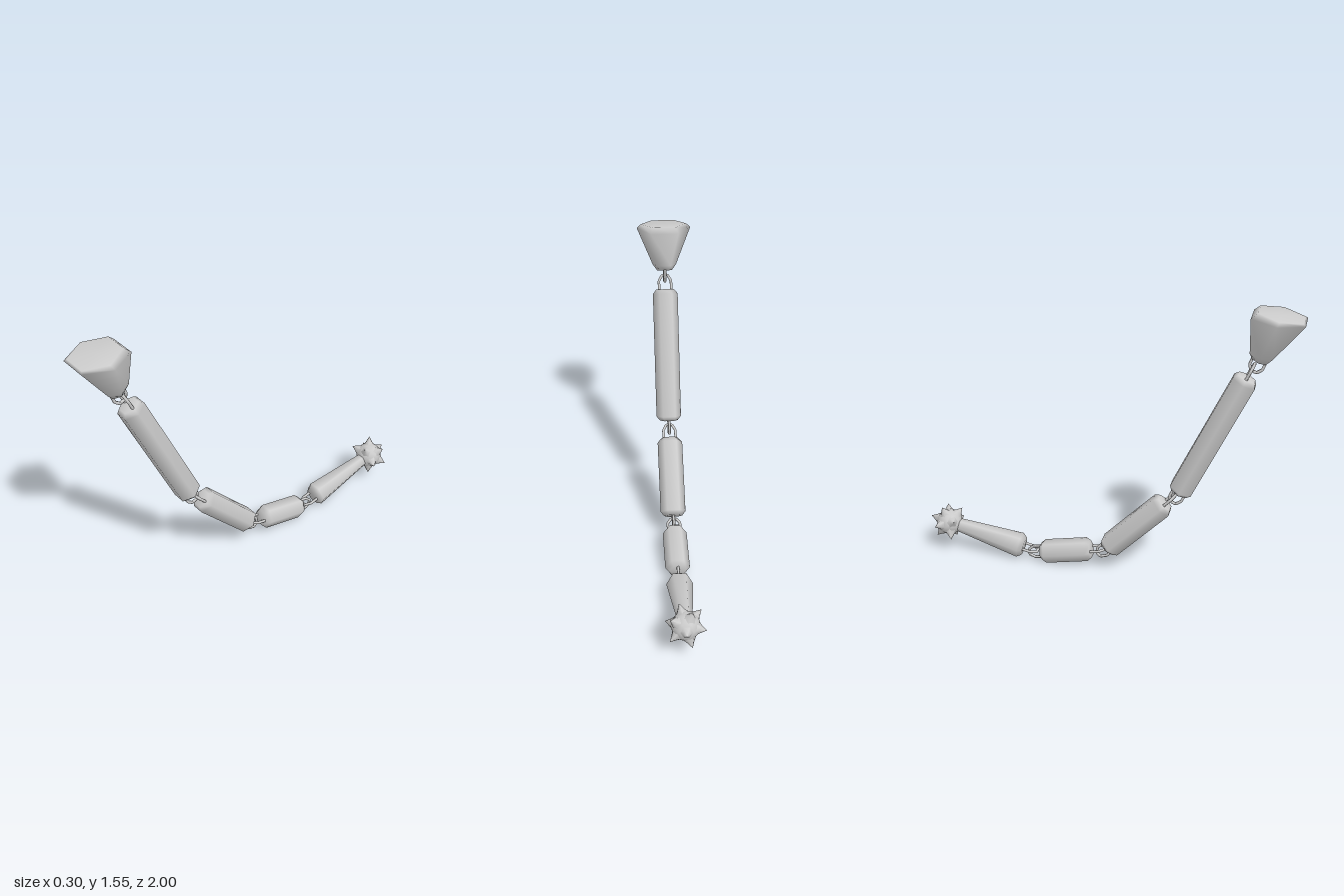
import * as THREE from 'three';
import { mergeVertices } from 'three/addons/utils/BufferGeometryUtils.js';

const grey = new THREE.MeshStandardMaterial({ color: 0xcccccc });

function mesh(geometry, name) {
  const m = new THREE.Mesh(geometry, grey);
  m.name = name;
  return m;
}

// Six-sided turned shape with corners on the x axis; profile is [radius, height]
function hexLathe(profile) {
  return new THREE.LatheGeometry(profile.map(p => new THREE.Vector2(...p)), 6, Math.PI / 2);
}

// Group at point a whose y axis runs towards b; points are [z, y]
function along(a, b, name) {
  const g = new THREE.Group();
  g.name = name;
  g.position.set(0, a[1], a[0]);
  g.rotation.x = Math.atan2(b[0] - a[0], b[1] - a[1]);
  return g;
}

// Bevelled hexagonal bar
function bar(length, r0, r1, name) {
  const bevel = 0.025;
  return mesh(hexLathe([
    [0, 0], [r0 * 0.72, 0], [r0, bevel],
    [r1, length - bevel], [r1 * 0.72, length], [0, length],
  ]), name);
}

// Angular staple rising from its base along y
function staple(length, name) {
  const w = 0.034;
  const pts = [[-w, -0.02], [-w, length * 0.6], [-w * 0.45, length],
    [w * 0.45, length], [w, length * 0.6], [w, -0.02]];
  const path = new THREE.CatmullRomCurve3(
    pts.map(p => new THREE.Vector3(p[0], p[1], 0)), false, 'catmullrom', 0);
  return mesh(new THREE.TubeGeometry(path, 40, 0.008, 6), name);
}

// Flared hexagonal pommel lofted through tilted rings: [z, y, radius, tilt in degrees]
function pommelGeometry() {
  const rings = [
    [0.79, 1.3, 0, 20], [0.79, 1.303, 0.042, 20], [0.8, 1.335, 0.066, 12],
    [0.872, 1.525, 0.15, 4.5], [0.882, 1.543, 0.127, 10], [0.882, 1.543, 0, 10],
  ];
  let g = hexLathe(rings.map((r, i) => [r[2], i]));
  const pos = g.attributes.position;
  for (let i = 0; i < pos.count; i++) {
    const [z, y, , deg] = rings[Math.round(pos.getY(i))];
    const t = THREE.MathUtils.degToRad(deg), d = pos.getZ(i);
    pos.setXYZ(i, pos.getX(i), y - d * Math.sin(t), z + d * Math.cos(t));
  }
  g.deleteAttribute('normal');
  g.deleteAttribute('uv');
  g = mergeVertices(g);
  g.computeVertexNormals();
  return g;
}

// Faceted ball with twelve spikes, one of them pointing along local y
function spikedBall() {
  const ball = new THREE.Group();
  ball.name = 'spikedBall';
  const core = new THREE.IcosahedronGeometry(0.074, 1);
  core.deleteAttribute('normal');
  core.deleteAttribute('uv');
  const smooth = mergeVertices(core);
  smooth.computeVertexNormals();
  ball.add(mesh(smooth, 'ballCore'));

  const dirs = [new THREE.Vector3(0, 1, 0)];
  for (let i = 0; i < 5; i++) {
    const a = THREE.MathUtils.degToRad(-35 + 72 * i), c = 2 / Math.sqrt(5);
    dirs.push(new THREE.Vector3(c * Math.cos(a), 1 / Math.sqrt(5), c * Math.sin(a)));
  }
  const spike = hexLathe([[0.038, 0.055], [0.019, 0.08], [0, 0.111]]);
  const up = new THREE.Vector3(0, 1, 0);
  for (const d of dirs) {
    for (const s of [1, -1]) {
      const m = mesh(spike, 'spike');
      m.quaternion.setFromUnitVectors(up, d.clone().multiplyScalar(s));
      ball.add(m);
    }
  }
  return ball;
}

export function createModel() {
  const model = new THREE.Group();
  model.name = 'segmentedFlail';

  // Pommel with its hanging loop
  model.add(mesh(pommelGeometry(), 'pommel'));
  const pommelLoop = along([0.79, 1.305], [0.765, 1.24], 'pommelLoop');
  const hanging = staple(0.065, 'loop');
  hanging.rotation.y = Math.PI / 2;
  pommelLoop.add(hanging);
  model.add(pommelLoop);

  // Chain of bars: crosswise staple at the start, upright loop at the far end
  const bars = [
    { name: 'longHandle', a: [0.735, 1.21], b: [0.42, 0.535], r: 0.07 },
    { name: 'upperLinkBar', a: [0.345, 0.46], b: [0.033, 0.143], r: 0.07 },
    { name: 'lowerLinkBar', a: [-0.06, 0.117], b: [-0.348, 0.061], r: 0.066 },
    { name: 'headHandle', a: [-0.452, 0.078], b: [-0.87, 0.172], r: 0.07, end: 0.037 },
  ];
  for (const { name, a, b, r, end } of bars) {
    const g = along(a, b, name);
    const length = Math.hypot(b[0] - a[0], b[1] - a[1]);
    g.add(bar(length, r, end ?? r, 'hexBar'));
    const start = staple(0.08, 'startStaple');
    start.rotation.x = Math.PI;
    g.add(start);
    if (!end) {
      const loop = staple(0.075, 'endLoop');
      loop.position.y = length;
      loop.rotation.y = Math.PI / 2;
      g.add(loop);
    }
    model.add(g);
  }

  // Spiked head, aligned with the last bar
  const head = along([-0.893, 0.178], [-1.0, 0.202], 'head');
  head.add(spikedBall());
  model.add(head);

  return model;
}
